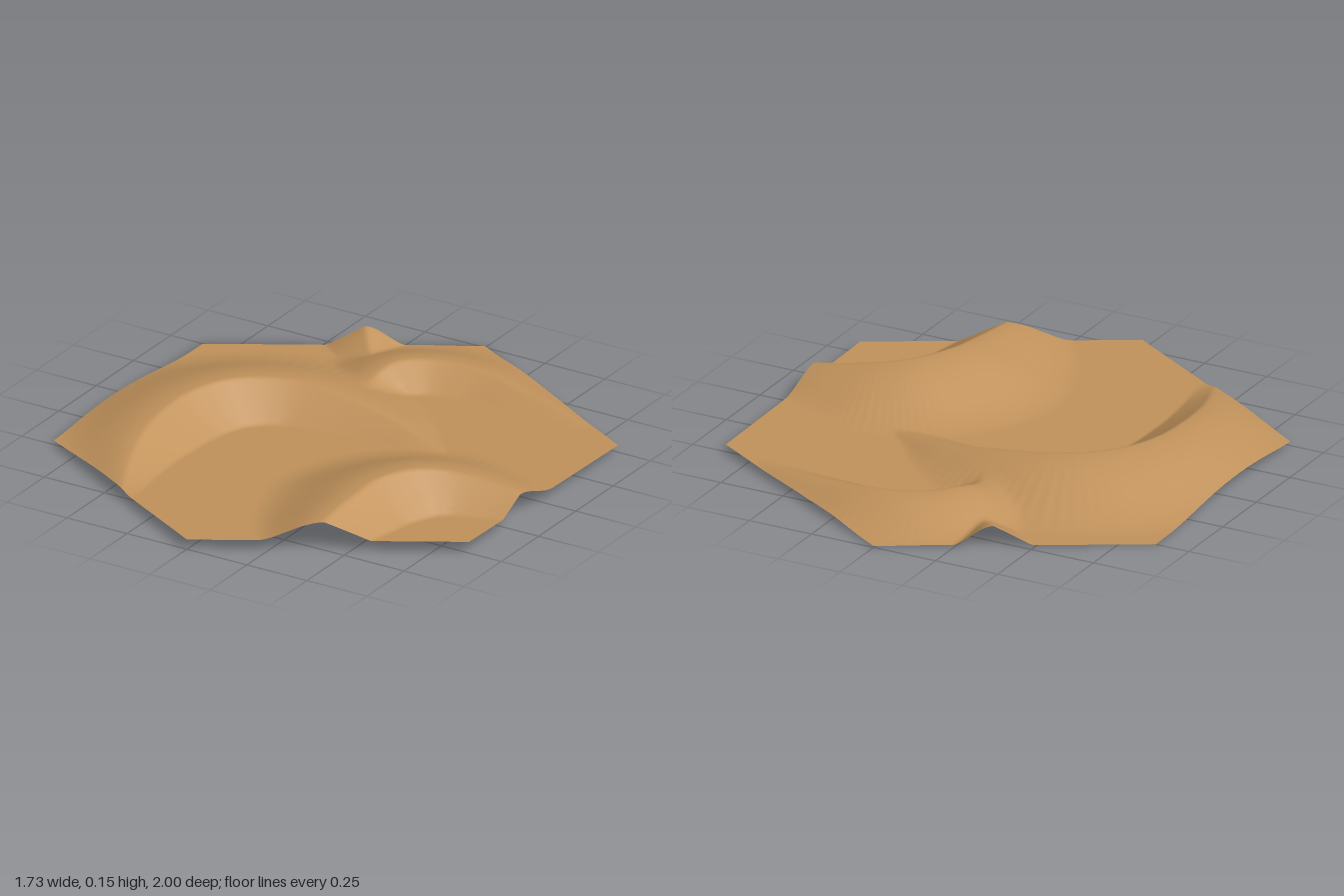
import * as THREE from 'three';

// Each dune is a crest line of [x, height, z]; the steep lee side lies to the right of its direction.
const DUNES = [
  { // large middle dune
    wind: 4.4,
    crest: [[-0.4, 0, 0.8], [-0.5, 0.055, 0.56], [-0.55, 0.09, 0.35], [-0.55, 0.11, 0.1], [-0.48, 0.115, -0.07],
      [-0.33, 0.108, -0.18], [-0.12, 0.085, -0.21], [0.1, 0.05, -0.19], [0.28, 0.02, -0.14], [0.42, 0, -0.1]],
  },
  { // back dune
    wind: 4.2,
    crest: [[-0.07, 0, -0.3], [-0.12, 0.045, -0.43], [-0.11, 0.078, -0.55], [-0.02, 0.078, -0.645],
      [0.15, 0.066, -0.685], [0.35, 0.042, -0.66], [0.55, 0.018, -0.62], [0.7, 0, -0.58]],
  },
  { // front corner dune
    wind: 4,
    crest: [[0.45, 0.03, 0.95], [0.42, 0.072, 0.76], [0.42, 0.1, 0.55], [0.435, 0.115, 0.4], [0.5, 0.115, 0.27],
      [0.6, 0.102, 0.2], [0.75, 0.077, 0.165], [0.87, 0.055, 0.16], [1.05, 0.02, 0.18]],
  },
  { // small horn on the back edge
    wind: 2.2,
    crest: [[-0.45, 0.09, -0.93], [-0.37, 0.075, -0.79], [-0.3, 0.04, -0.7], [-0.25, 0, -0.63]],
  },
].map(({ wind, crest }) => ({
  wind,
  points: new THREE.CatmullRomCurve3(crest.map((p) => new THREE.Vector3(...p))).getPoints(64),
}));

// Height of one dune: find the nearest crest point, then fall off to lee or windward.
function duneHeight({ points, wind }, x, z) {
  let best = Infinity, h = 0, side = 0;
  for (let i = 0; i < points.length - 1; i++) {
    const a = points[i], b = points[i + 1];
    const tx = b.x - a.x, tz = b.z - a.z;
    const t = THREE.MathUtils.clamp(((x - a.x) * tx + (z - a.z) * tz) / (tx * tx + tz * tz), 0, 1);
    const dx = x - a.x - t * tx, dz = z - a.z - t * tz;
    const d = Math.hypot(dx, dz);
    if (d < best) {
      best = d;
      h = Math.max(0, a.y + (b.y - a.y) * t);
      side = tx * dz - tz * dx;
    }
  }
  if (h < 1e-5) return 0;
  const width = side > 0 ? 0.05 + 1.15 * h : wind * h;
  const s = Math.max(0, 1 - best / width);
  return side > 0 ? h * s : h * s * s * (3 - 2 * s);
}

// Gently tilted ground with the dunes blended over it
function terrainHeight(x, z) {
  let sum = 0;
  for (const dune of DUNES) sum += duneHeight(dune, x, z) ** 3;
  return 0.028 + 0.016 * x + 0.016 * z + Math.cbrt(sum);
}

// Hexagonal sheet on a triangular lattice, corners at z = +-1
function hexTerrain(n) {
  const positions = [], index = [], ids = new Map();
  const key = (q, r) => q * 1000 + r;
  const id = (q, r) => ids.get(key(q, r));
  for (let q = -n; q <= n; q++) {
    for (let r = -n; r <= n; r++) {
      if (Math.abs(q + r) > n) continue;
      const x = (r * Math.sqrt(3)) / 2 / n, z = (q + r / 2) / n;
      ids.set(key(q, r), positions.length / 3);
      positions.push(x, terrainHeight(x, z), z);
    }
  }
  const face = (...f) => { if (f.every((v) => v !== undefined)) index.push(...f); };
  for (let q = -n; q <= n; q++) {
    for (let r = -n; r <= n; r++) {
      face(id(q, r), id(q + 1, r), id(q, r + 1));
      face(id(q + 1, r), id(q + 1, r + 1), id(q, r + 1));
    }
  }
  const geometry = new THREE.BufferGeometry();
  geometry.setAttribute('position', new THREE.Float32BufferAttribute(positions, 3));
  geometry.setIndex(index);
  geometry.computeVertexNormals();
  return geometry;
}

export function createModel() {
  const group = new THREE.Group();
  group.name = 'desertTile';
  const sand = new THREE.MeshStandardMaterial({ color: 0xc2935c, side: THREE.DoubleSide });
  sand.name = 'sand';
  const dunes = new THREE.Mesh(hexTerrain(90), sand);
  dunes.name = 'sandDunes';
  group.add(dunes);
  return group;
}
